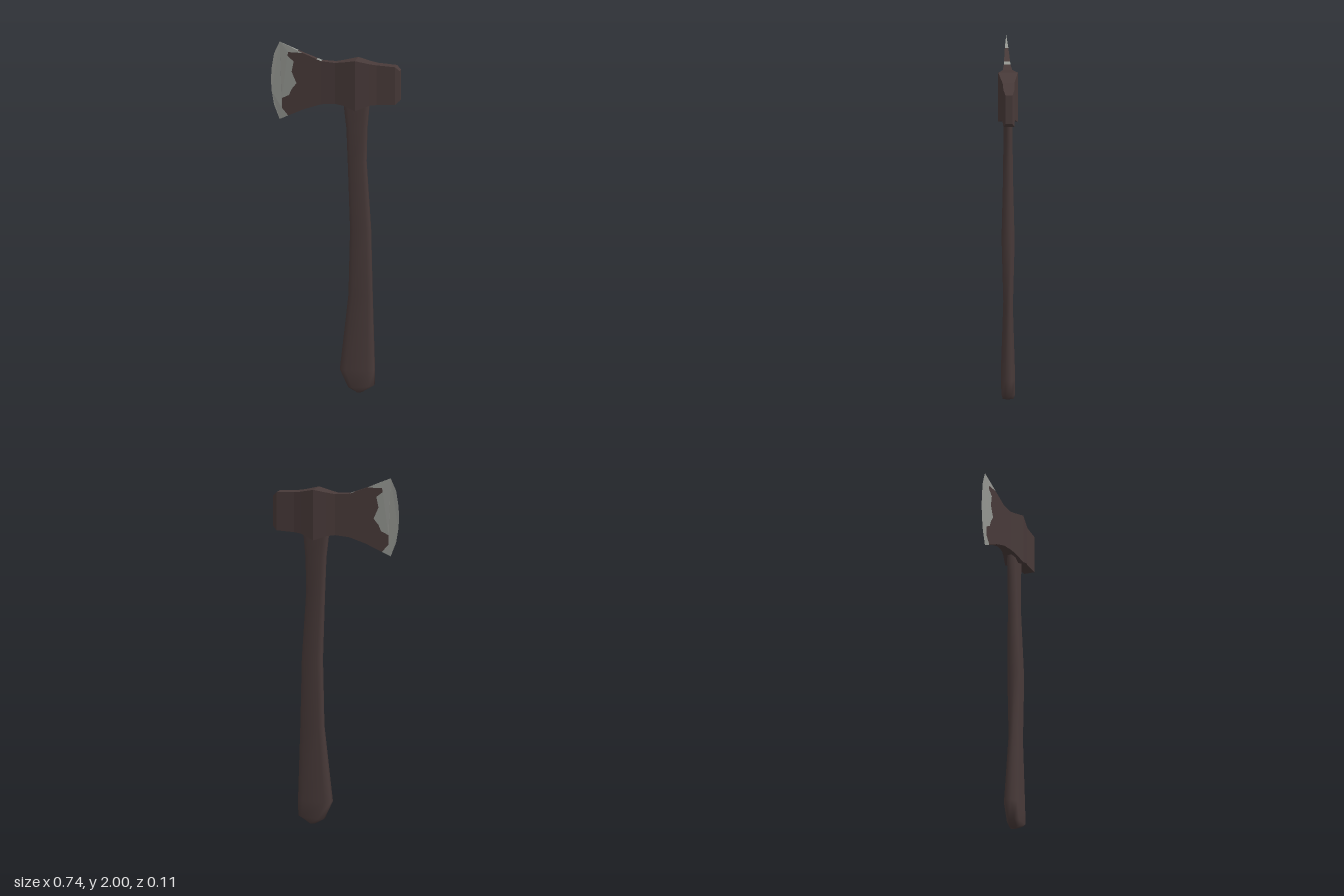
import * as THREE from 'three';

// Head cross-sections: x, bottom y, top y, half thickness
const SECTIONS = [
  [-0.08, 1.652, 1.900, 0.019], [0.00, 1.660, 1.895, 0.026], [0.05, 1.653, 1.903, 0.038],
  [0.12, 1.628, 1.917, 0.055], [0.20, 1.660, 1.899, 0.040], [0.24, 1.664, 1.893, 0.033],
  [0.345, 1.668, 1.886, 0.031], [0.37, 1.692, 1.862, 0.020],
];
// Cutting edge from top to bottom, where the thickness is zero
const EDGE = [[-0.32, 2.0], [-0.352, 1.93], [-0.365, 1.85], [-0.37, 1.78], [-0.365, 1.71], [-0.352, 1.635], [-0.32, 1.553]];
// Ragged border between bare steel and dark finish, bottom to top
const BORDER = [
  [-0.27, 1.577], [-0.307, 1.62], [-0.307, 1.675], [-0.265, 1.695], [-0.25, 1.73], [-0.222, 1.765],
  [-0.25, 1.83], [-0.238, 1.89], [-0.275, 1.92], [-0.27, 1.942], [-0.185, 1.941],
];
const LOWER = [[-0.175, 1.62], [-0.08, 1.652]];
const UPPER = [[-0.08, 1.9], [-0.105, 1.91]];

// Handle rings: left x, left y, right x, right y, half depth
const RINGS = [
  [0.12, 0.003, 0.152, 0.003, 0.030], [0.075, 0.028, 0.22, 0.043, 0.037],
  [0.027, 0.13, 0.222, 0.13, 0.039], [0.075, 0.56, 0.210, 0.56, 0.026],
  [0.085, 0.94, 0.200, 0.94, 0.036], [0.072, 1.30, 0.175, 1.33, 0.027],
  [0.063, 1.52, 0.180, 1.52, 0.025], [0.048, 1.65, 0.192, 1.65, 0.025],
  [0.048, 1.75, 0.192, 1.75, 0.025],
];
const OCTAGON = [[1, -0.45], [1, 0.45], [0.65, 1], [-0.65, 1], [-1, 0.45], [-1, -0.45], [-0.65, -1], [0.65, -1]];

// Half thickness of the blade wedge
const bladeZ = ([x, y]) =>
  EDGE.some((e) => Math.hypot(e[0] - x, e[1] - y) < 1e-5) ? 0 : 0.019 * (x + 0.37) / 0.29;

function quad(out, a, b, c, d) {
  out.push(...a, ...b, ...c, ...a, ...c, ...d);
}

// Both cheeks of a flat outline, bent to the wedge
function cheeks(out, outline) {
  const shape = new THREE.Shape(outline.map((p) => new THREE.Vector2(...p)));
  const pos = new THREE.ShapeGeometry(shape).toNonIndexed().attributes.position;
  for (let i = 0; i < pos.count; i += 3) {
    const tri = [0, 1, 2].map((k) => [pos.getX(i + k), pos.getY(i + k)]);
    tri.forEach((p) => out.push(...p, bladeZ(p)));
    tri.reverse().forEach((p) => out.push(...p, -bladeZ(p)));
  }
}

// Narrow strip joining the cheeks along the top (a left of b) or bottom (a right of b)
function rim(out, a, b) {
  const za = bladeZ(a), zb = bladeZ(b);
  quad(out, [...a, za], [...b, zb], [...b, -zb], [...a, -za]);
}

function facetedMesh(positions, material, name) {
  const g = new THREE.BufferGeometry();
  g.setAttribute('position', new THREE.Float32BufferAttribute(positions, 3));
  g.computeVertexNormals();
  const mesh = new THREE.Mesh(g, material);
  mesh.name = name;
  return mesh;
}

function headBody() {
  const out = [];
  for (let i = 0; i < SECTIONS.length - 1; i++) {
    const [x0, b0, t0, z0] = SECTIONS[i], [x1, b1, t1, z1] = SECTIONS[i + 1];
    quad(out, [x0, b0, z0], [x1, b1, z1], [x1, t1, z1], [x0, t0, z0]);
    quad(out, [x1, b1, -z1], [x0, b0, -z0], [x0, t0, -z0], [x1, t1, -z1]);
    quad(out, [x0, t0, z0], [x1, t1, z1], [x1, t1, -z1], [x0, t0, -z0]);
    quad(out, [x0, b0, -z0], [x1, b1, -z1], [x1, b1, z1], [x0, b0, z0]);
  }
  // Flat hammer end
  const [x, b, t, z] = SECTIONS[SECTIONS.length - 1];
  quad(out, [x, b, z], [x, b, -z], [x, t, -z], [x, t, z]);
  return out;
}

function handleGeometry() {
  const pos = [], index = [], n = OCTAGON.length;
  for (const [xl, yl, xr, yr, hz] of RINGS) {
    for (const [u, v] of OCTAGON) {
      const s = (u + 1) / 2;
      pos.push(xl + (xr - xl) * s, yl + (yr - yl) * s, v * hz);
    }
  }
  for (let r = 0; r < RINGS.length - 1; r++) {
    for (let k = 0; k < n; k++) {
      const a = r * n + k, b = r * n + (k + 1) % n;
      index.push(a, a + n, b, b, a + n, b + n);
    }
  }
  // Butt cap
  pos.push(0.137, 0, 0);
  for (let k = 0; k < n; k++) index.push(RINGS.length * n, k, (k + 1) % n);
  const g = new THREE.BufferGeometry();
  g.setAttribute('position', new THREE.Float32BufferAttribute(pos, 3));
  g.setIndex(index);
  g.computeVertexNormals();
  return g;
}

export function createModel() {
  const dark = new THREE.MeshStandardMaterial({ color: 0x483a39 });
  dark.name = 'dark brown';
  const steel = new THREE.MeshStandardMaterial({ color: 0x939590 });
  steel.name = 'bare steel';

  const group = new THREE.Group();
  group.name = 'axe';

  const handle = new THREE.Mesh(handleGeometry(), dark);
  handle.name = 'handle';

  const bottom = BORDER[0], top = BORDER[BORDER.length - 1];

  // Dark part of the blade with its rims
  const darkBlade = [];
  cheeks(darkBlade, [...LOWER, ...UPPER, ...[...BORDER].reverse()]);
  rim(darkBlade, [-0.215, 1.9543], top);
  rim(darkBlade, top, UPPER[1]);
  rim(darkBlade, LOWER[1], LOWER[0]);
  rim(darkBlade, LOWER[0], bottom);

  // Bare steel edge and the worn patch on top
  const steelBlade = [];
  cheeks(steelBlade, [...EDGE, ...BORDER, [-0.215, 1.9543]]);
  rim(steelBlade, EDGE[0], [-0.215, 1.9543]);
  rim(steelBlade, UPPER[1], UPPER[0]);
  rim(steelBlade, bottom, EDGE[EDGE.length - 1]);

  group.add(
    handle,
    facetedMesh(headBody(), dark, 'head'),
    facetedMesh(darkBlade, dark, 'blade'),
    facetedMesh(steelBlade, steel, 'cuttingEdge'),
  );
  return group;
}
